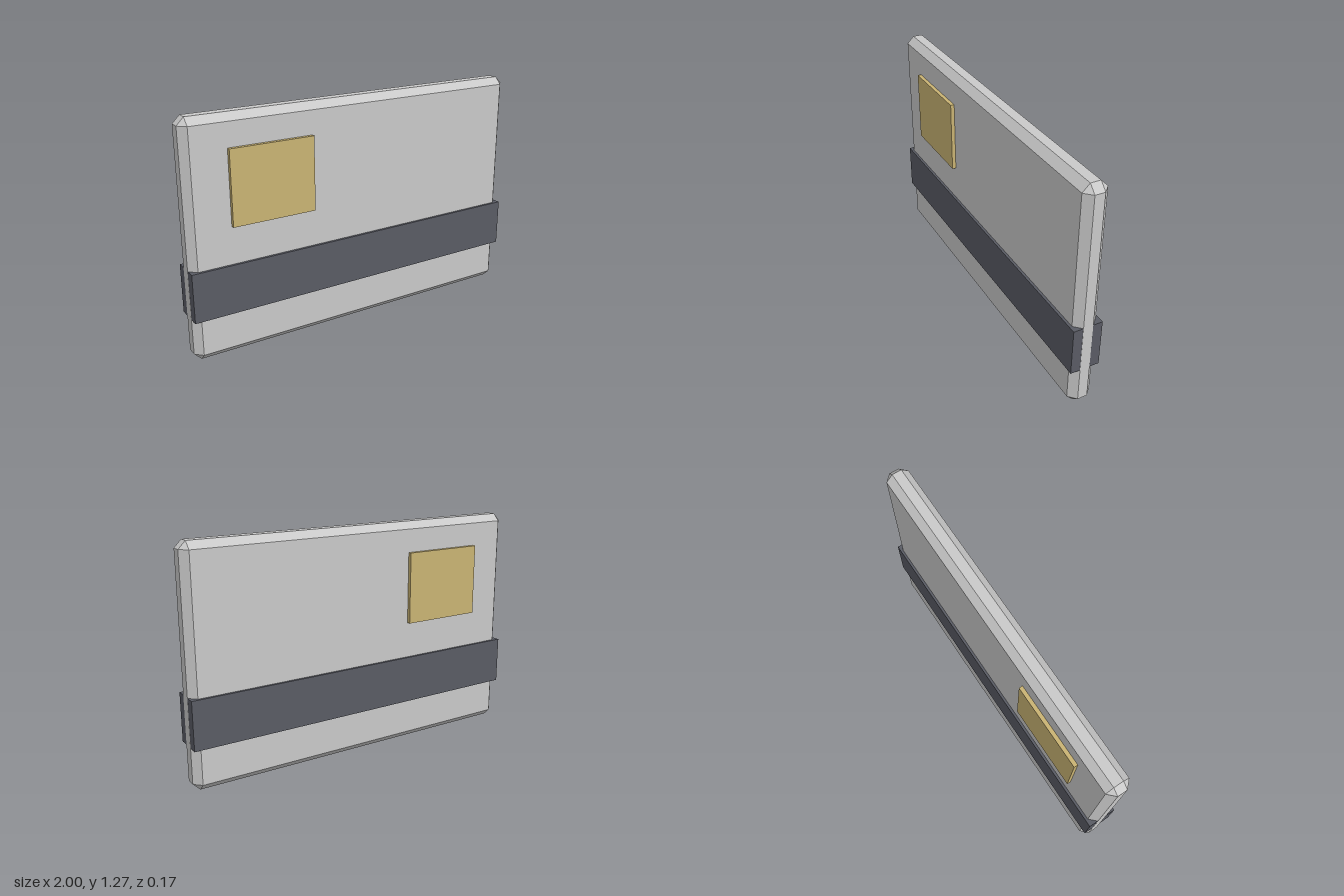
import * as THREE from 'three';
import { ConvexGeometry } from 'three/addons/geometries/ConvexGeometry.js';

const HEIGHT = 1.27;
const HALF = [1, HEIGHT / 2, 0.066];

// Box with 45 degree bevels on all edges and cut corners
function bevelledBox([hx, hy, hz], b) {
  const points = [];
  for (const x of [-1, 1]) for (const y of [-1, 1]) for (const z of [-1, 1]) {
    points.push(
      new THREE.Vector3(x * hx, y * (hy - b), z * (hz - b)),
      new THREE.Vector3(x * (hx - b), y * hy, z * (hz - b)),
      new THREE.Vector3(x * (hx - b), y * (hy - b), z * hz)
    );
  }
  return new ConvexGeometry(points);
}

export function createModel() {
  const silver = new THREE.MeshStandardMaterial({ color: 0xc9c9c9 });
  const gold = new THREE.MeshStandardMaterial({ color: 0xc9b373 });
  const charcoal = new THREE.MeshStandardMaterial({ color: 0x595b64 });
  silver.name = 'silver';
  gold.name = 'gold';
  charcoal.name = 'charcoal';

  const group = new THREE.Group();
  group.name = 'card';

  function add(name, geometry, material, x, y, z) {
    const mesh = new THREE.Mesh(geometry, material);
    mesh.name = name;
    mesh.position.set(x, y, z);
    group.add(mesh);
  }

  // Card slab
  add('cardBody', bevelledBox(HALF, 0.039), silver, 0, HEIGHT / 2, 0);

  // Stripe and chip plate on both faces
  const stripe = new THREE.BoxGeometry(1.999, 0.265, 0.06);
  const chip = new THREE.BoxGeometry(0.465, 0.4, 0.03);
  for (const [side, s] of [['front', 1], ['back', -1]]) {
    add(side + 'Stripe', stripe, charcoal, 0, 0.3675, s * 0.05);
    add(side + 'Chip', chip, gold, -0.5375, 0.902, s * 0.072);
  }
  return group;
}
